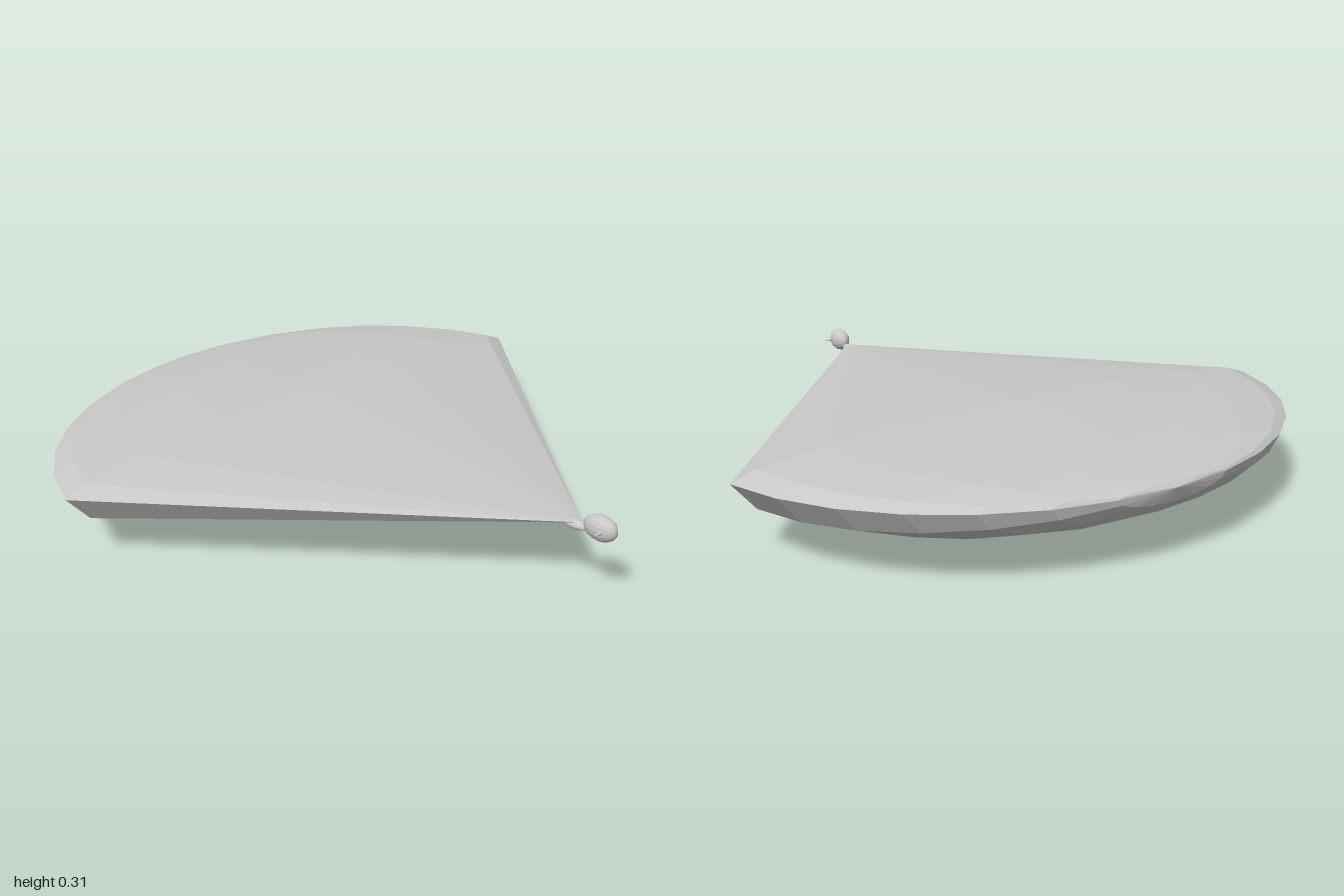
import * as THREE from 'three';

const SIDES = 16;      // facets around the body
const RIM_Y = 0.238;   // height of the sharp rim
const DEPTH = 0.238;   // belly depth at the widest station
const CROWN = 0.07;    // back height at the widest station
const APEX_X = 0.875;

// Faceted shell: elliptical cross-sections along x, deeper below the rim than above
function shellGeometry() {
  const stations = [];
  for (let k = 0; k <= 7; k++) {
    const a = (k * Math.PI) / 16;
    stations.push([-0.117 - 0.88 * Math.cos(a), 1.0196 * Math.sin(a)]);
  }
  stations.push([APEX_X, 0]);

  const point = ([x, r], j) => {
    const a = (j / SIDES) * Math.PI * 2;
    const s = Math.sin(a);
    return [x, RIM_Y + r * s * (s > 0 ? CROWN : DEPTH), r * Math.cos(a)];
  };
  const positions = [];
  for (let i = 0; i < stations.length - 1; i++) {
    for (let j = 0; j < SIDES; j++) {
      const a = point(stations[i], j);
      const b = point(stations[i + 1], j);
      const c = point(stations[i + 1], j + 1);
      const d = point(stations[i], j + 1);
      // the end stations close to a point, so they need only one triangle
      if (stations[i + 1][1] > 0) positions.push(...a, ...b, ...c);
      if (stations[i][1] > 0) positions.push(...a, ...(stations[i + 1][1] > 0 ? c : b), ...d);
    }
  }
  const geometry = new THREE.BufferGeometry();
  geometry.setAttribute('position', new THREE.Float32BufferAttribute(positions, 3));
  geometry.computeVertexNormals();
  return geometry;
}

export function createModel() {
  const model = new THREE.Group();
  model.name = 'model';
  const grey = new THREE.MeshStandardMaterial({ color: 0xc8c8c8, flatShading: true });
  grey.name = 'lightGrey';

  const add = (name, geometry, x, y, z) => {
    const mesh = new THREE.Mesh(geometry, grey);
    mesh.name = name;
    mesh.position.set(x, y, z);
    model.add(mesh);
  };

  // Low-poly ellipsoid with its poles along x
  const ellipsoid = (rx, ry, rz) =>
    new THREE.SphereGeometry(1, 16, 10).rotateZ(-Math.PI / 2).scale(rx, ry, rz);

  add('shell', shellGeometry(), 0, 0, 0);
  add('neck', ellipsoid(0.045, 0.016, 0.023), 0.852, 0.227, 0);
  add('head', ellipsoid(0.056, 0.041, 0.031), 0.938, 0.246, 0);

  // Small spikes on both sides of the head
  for (const side of [1, -1]) {
    const spike = new THREE.ConeGeometry(0.008, 0.036, 8).rotateX((side * Math.PI) / 2);
    add(side > 0 ? 'frontSpike' : 'backSpike', spike, 0.955, 0.246, side * 0.038);
  }
  return model;
}
